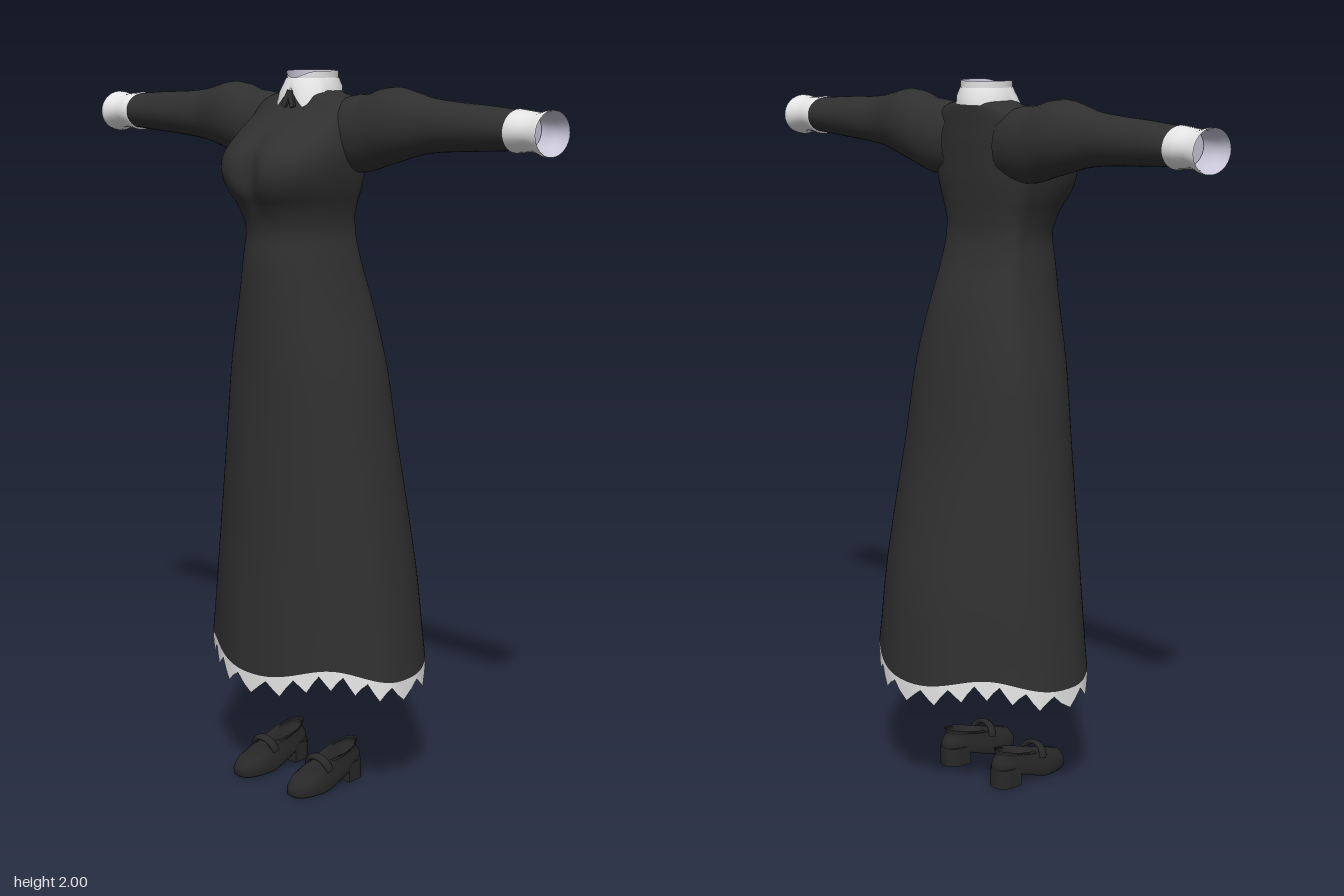
import * as THREE from 'three';

// Joins a stack of closed rings into a smooth skin; ring(j, a) gives [x, y, z] at angle a.
function loft(count, sides, ring) {
  const pos = [], idx = [];
  for (let j = 0; j < count; j++)
    for (let i = 0; i < sides; i++) pos.push(...ring(j, (i / sides) * Math.PI * 2, i));
  for (let j = 0; j < count - 1; j++)
    for (let i = 0; i < sides; i++) {
      const k = (i + 1) % sides, a = j * sides + i, b = j * sides + k;
      idx.push(a, b, a + sides, b, b + sides, a + sides);
    }
  const g = new THREE.BufferGeometry();
  g.setAttribute('position', new THREE.Float32BufferAttribute(pos, 3));
  g.setIndex(idx);
  g.computeVertexNormals();
  return g;
}

// Smoothly resamples rows of four numbers.
function resample(rows, n) {
  const a = new THREE.CatmullRomCurve3(rows.map(r => new THREE.Vector3(r[0], r[1], 0)), false, 'catmullrom', 0.5);
  const b = new THREE.CatmullRomCurve3(rows.map(r => new THREE.Vector3(r[2], r[3], 0)), false, 'catmullrom', 0.5);
  return Array.from({ length: n }, (_, i) => {
    const p = a.getPoint(i / (n - 1)), q = b.getPoint(i / (n - 1));
    return [p.x, p.y, q.x, q.y];
  });
}

const soft = (v, e) => Math.sign(v) * Math.pow(Math.abs(v), e);
const clamp = THREE.MathUtils.clamp;

export function createModel() {
  const model = new THREE.Group();
  const mat = (name, color, side) => {
    const m = new THREE.MeshStandardMaterial({ color, side });
    m.name = name;
    return m;
  };
  const black = mat('black cloth', 0x303030, THREE.DoubleSide);
  const leather = mat('black leather', 0x282828, THREE.DoubleSide);
  const white = mat('white trim', 0xe6e6e6, THREE.FrontSide);
  const lining = mat('lavender lining', 0xc9c6d8, THREE.BackSide);
  const add = (parent, name, geo, material) => {
    const m = new THREE.Mesh(geo, material);
    m.name = name;
    parent.add(m);
    return m;
  };
  // White outside, lavender inside
  const addLined = (parent, name, geo) => {
    add(parent, name, geo, white);
    add(parent, name + 'Lining', geo, lining);
  };

  // Dress body: height, half width, front z, back z
  const rows = resample([
    [0.375, 0.345, 0.27, -0.28], [0.6, 0.315, 0.258, -0.255], [0.8, 0.287, 0.248, -0.212],
    [1.0, 0.257, 0.24, -0.168], [1.2, 0.225, 0.235, -0.137], [1.38, 0.18, 0.232, -0.1],
    [1.5, 0.155, 0.23, -0.057], [1.58, 0.143, 0.224, -0.037], [1.64, 0.152, 0.245, -0.038],
    [1.69, 0.168, 0.277, -0.042], [1.74, 0.18, 0.286, -0.046], [1.79, 0.185, 0.268, -0.048],
    [1.84, 0.182, 0.21, -0.05], [1.88, 0.175, 0.145, -0.05], [1.91, 0.165, 0.108, -0.05],
    [1.932, 0.13, 0.094, -0.05], [1.942, 0.09, 0.09, -0.05], [1.955, 0.064, 0.085, -0.048],
  ], 70);
  const SIDES = 96;
  const hem = a => -0.02 * Math.cos(4 * a);
  const section = ([y, w, zf, zb], a) => {
    const flare = clamp((1.3 - y) / 0.9, 0, 1);              // soft folds grow downwards
    const bust = Math.exp(-Math.pow((y - 1.75) / 0.08, 2));
    const fold = 1 - flare * 0.045 * (1 - Math.cos(4 * a));
    const zc = y < 1.6 ? 0.02 : 0.03;
    const c = Math.cos(a), s = Math.sin(a);
    const x = w * soft(s, 0.9 - 0.1 * bust) * fold;
    let z = zc + (c > 0 ? zf - zc : zc - zb) * soft(c, c > 0 ? 0.85 - 0.2 * bust : 0.8) * fold;
    if (c > 0) z -= 0.028 * bust * Math.exp(-Math.pow(x / 0.035, 2)); // cleft of the bust
    const drop = hem(a) * clamp(1 - (y - 0.375) / 0.15, 0, 1);
    return [x, y + drop, z];
  };
  add(model, 'dress', loft(rows.length, SIDES, (j, a) => section(rows[j], a)), black);

  // Pointed trim around the hem
  const tooth = [0.042, 0.018, 0, 0.022];
  addLined(model, 'hemTrim', loft(2, SIDES, (j, a, i) => {
    const [x, y, z] = section(rows[0], a);
    return j ? [x, y, z] : [x * 1.005, y - 0.014 - tooth[i % 4], z * 1.005];
  }));

  // Collar: standing band, folded points and inner lining
  const neck = (a, grow, y) => [(0.064 + grow) * Math.sin(a), y, 0.022 + (0.072 + grow) * Math.cos(a)];
  addLined(model, 'collarBand', loft(2, 48, (j, a) => neck(a, j ? 0.002 : 0, j ? 2 - 0.018 * Math.pow(Math.max(0, Math.cos(a)), 6) : 1.935)));
  const points = loft(3, 48, (j, a) => {
    const t = Math.min(a, Math.PI * 2 - a);
    const low = t < 0.6 ? 1.955 - 0.058 * (t / 0.6) : t < 1.3 ? 1.897 + 0.04 * (t - 0.6) / 0.7 : 1.937;
    const out = t < 0.6 ? 0.012 + 0.02 * t / 0.6 : t < 1.3 ? 0.032 - 0.012 * (t - 0.6) / 0.7 : 0.014;
    return neck(a, [out, out * 0.6 + 0.004, 0.003][j], [low, (low + 1.982) / 2, 1.982][j]);
  });
  addLined(model, 'collarPoints', points);
  const throat = add(model, 'neckLining', new THREE.CircleGeometry(1, 32).scale(0.063, 0.071, 1).rotateX(Math.PI / 2), lining);
  throat.position.set(0, 1.955, 0.022);

  // Small dark tie below the collar
  for (const s of [-1, 1]) {
    const tie = add(model, 'neckTie', new THREE.BoxGeometry(0.016, 0.045, 0.008), black);
    tie.position.set(s * 0.009, 1.927, 0.112);
    tie.rotation.set(-0.2, 0, s * 0.35);
  }

  // Sleeve: x, top y, bottom y, half depth
  const sleeveRows = resample([
    [0.1, 1.925, 1.74, 0.07], [0.16, 1.94, 1.735, 0.08], [0.21, 1.945, 1.74, 0.083], [0.26, 1.959, 1.756, 0.083],
    [0.31, 1.964, 1.77, 0.08], [0.36, 1.954, 1.785, 0.07], [0.42, 1.94, 1.798, 0.06],
    [0.5, 1.932, 1.806, 0.062], [0.6, 1.927, 1.812, 0.063], [0.72, 1.918, 1.82, 0.064],
  ], 36);
  const tube = (x, top, bottom, rz, a) =>
    [x, (top + bottom) / 2 + (top - bottom) / 2 * Math.cos(a), 0.018 + rz * Math.sin(a)];
  const cuffRows = [[0.7, 1.915, 1.818, 0.064], [0.703, 1.922, 1.812, 0.069], [0.74, 1.918, 1.817, 0.066],
    [0.77, 1.915, 1.817, 0.065], [0.795, 1.921, 1.807, 0.07], [0.807, 1.922, 1.808, 0.07]];

  // Shoe outline, sole height and upper height along its length
  const SOLE = 40;
  const foot = (a, k) => {
    const c = Math.cos(a);
    return [(0.047 + 0.006 * c) * soft(Math.sin(a), 0.8) * k, 0.088 + 0.136 * soft(c, 0.85) * k];
  };
  const soleY = z => z > 0.12 ? 0.002 : 0.002 + 0.045 * clamp((0.12 - z) / 0.14, 0, 1);
  const rimY = z => 0.058 + 0.055 * clamp((0.17 - z) / 0.22, 0, 1);
  const shoeGeo = loft(8, SOLE, (j, a) => {
    const [x, z] = foot(a, [0, 0.94, 1, 1, 0.96, 0.86][Math.min(j, 5)]);
    if (j < 2) return [x, soleY(z), z];
    if (j === 2) return [x, soleY(z) + 0.006, z];
    if (j === 3) return [x, soleY(z) + 0.022, z];
    if (j === 4) return [x, soleY(z) * 0.45 + rimY(z) * 0.55, z];
    if (j === 5) return [x, rimY(z) - 0.006, z];
    const k = j === 6 ? 1 : 0.7;                              // foot opening, then the insole
    const oz = 0.03 + 0.07 * Math.cos(a) * k;
    return [0.036 * Math.sin(a) * k, j === 6 ? rimY(oz) + 0.004 : soleY(oz) + 0.02, oz];
  });
  const heelShape = new THREE.Shape();
  heelShape.moveTo(-0.04, -0.025);
  heelShape.lineTo(0.04, -0.025);
  heelShape.lineTo(0.038, 0.01);
  heelShape.absarc(0, 0.01, 0.038, 0, Math.PI, false);
  const heelGeo = new THREE.ExtrudeGeometry(heelShape, { depth: 0.056, bevelEnabled: false, curveSegments: 14 });
  heelGeo.rotateX(-Math.PI / 2);
  const strapGeo = new THREE.TorusGeometry(0.04, 0.009, 8, 20, Math.PI).scale(1, 0.85, 1.5);

  // Mirrored parts: sleeve, cuff and shoe on each side
  for (const s of [1, -1]) {
    const side = new THREE.Group();
    side.name = s > 0 ? 'leftSide' : 'rightSide';
    side.scale.x = s;
    model.add(side);
    add(side, 'sleeve', loft(sleeveRows.length, 32, (j, a) => tube(...sleeveRows[j], a)), black);
    addLined(side, 'cuff', loft(cuffRows.length, 32, (j, a) => tube(...cuffRows[j], a)));
    const end = add(side, 'cuffLining', new THREE.CircleGeometry(1, 28).scale(0.064, 0.049, 1).rotateY(-Math.PI / 2), lining);
    end.position.set(0.724, 1.868, 0.018);

    const shoe = new THREE.Group();
    shoe.name = 'shoe';
    shoe.position.x = 0.108;
    side.add(shoe);
    add(shoe, 'shoeUpper', shoeGeo, leather);
    add(shoe, 'heel', heelGeo, leather).position.z = 0;
    const strap = add(shoe, 'strap', strapGeo, leather);
    strap.position.set(0, 0.062, 0.108);
    strap.rotation.x = 0.3;
  }
  return model;
}
